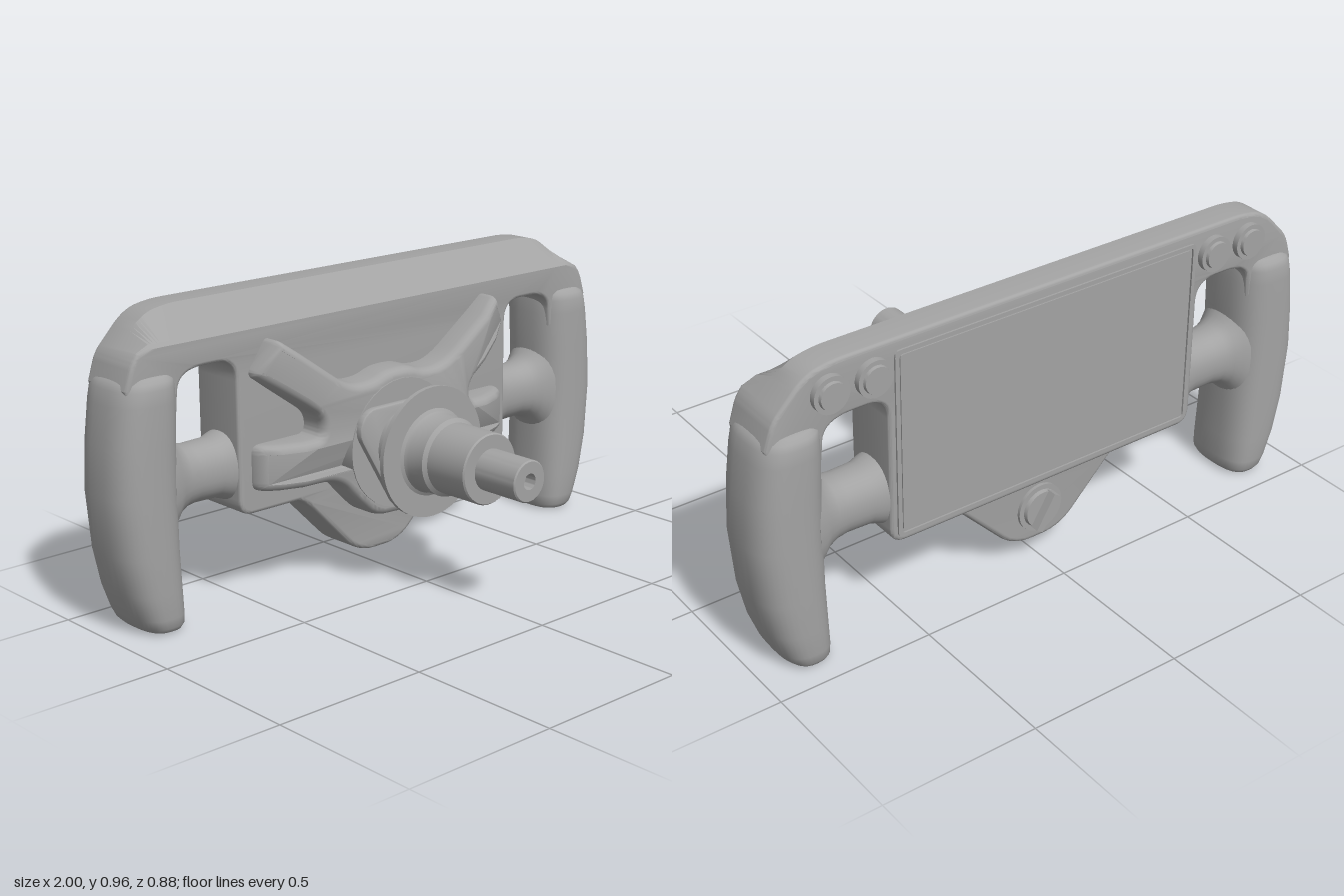
import * as THREE from 'three';
import { toCreasedNormals } from 'three/addons/utils/BufferGeometryUtils.js';

const HUB_Y = 0.433;

// Closed outline from [x, y, cornerRadius] points, counter-clockwise
function rounded(points) {
  const shape = new THREE.Shape();
  const n = points.length;
  points.forEach(([x, y, r = 0], i) => {
    const p = new THREE.Vector2(x, y);
    const toward = (q) => {
      const d = new THREE.Vector2(q[0], q[1]).sub(p);
      return p.clone().addScaledVector(d.clone().normalize(), Math.min(r, d.length() * 0.49));
    };
    const a = toward(points[(i + n - 1) % n]);
    const b = toward(points[(i + 1) % n]);
    if (i === 0) shape.moveTo(a.x, a.y);
    else shape.lineTo(a.x, a.y);
    if (r > 0) shape.quadraticCurveTo(x, y, b.x, b.y);
  });
  shape.closePath();
  return shape;
}

// Right half listed upwards, mirrored to the other side
const mirrored = (half) =>
  rounded([...half, ...half.filter((p) => p[0] > 0).reverse().map(([x, y, r]) => [-x, y, r])]);

// Extrusion between two z levels, bevelled inside the outline
function slab(shape, z0, z1, bevel = 0, steps = 1, bevelDepth = bevel) {
  const g = new THREE.ExtrudeGeometry(shape, {
    depth: z1 - z0 - 2 * bevelDepth, steps, curveSegments: 8,
    bevelEnabled: bevel > 0, bevelSize: bevel, bevelThickness: bevelDepth,
    bevelOffset: -bevel, bevelSegments: 4,
  });
  return g.translate(0, 0, z0 + bevelDepth);
}

// Upright loft of rounded sections [y, centreX, halfX, halfZ], closed at both ends
function loft(sections, power = 2, sides = 32) {
  const pos = [], index = [];
  const squash = (v) => Math.sign(v) * Math.abs(v) ** (2 / power);
  for (const [y, c, hx, hz] of sections) {
    for (let j = 0; j < sides; j++) {
      const a = (j / sides) * Math.PI * 2;
      pos.push(c + hx * squash(Math.cos(a)), y, hz * squash(Math.sin(a)));
    }
  }
  const last = sections.length - 1;
  for (let i = 0; i < last; i++) {
    for (let j = 0; j < sides; j++) {
      const a = i * sides + j, b = i * sides + ((j + 1) % sides);
      index.push(a, a + sides, b, b, a + sides, b + sides);
    }
  }
  const base = pos.length / 3;
  pos.push(sections[0][1], sections[0][0], 0, sections[last][1], sections[last][0], 0);
  for (let j = 0; j < sides; j++) {
    const k = (j + 1) % sides;
    index.push(base, j, k, base + 1, last * sides + k, last * sides + j);
  }
  const g = new THREE.BufferGeometry();
  g.setAttribute('position', new THREE.Float32BufferAttribute(pos, 3));
  g.setIndex(index);
  return g;
}

function bend(g, rule) {
  const p = g.attributes.position, v = new THREE.Vector3();
  for (let i = 0; i < p.count; i++) {
    v.fromBufferAttribute(p, i);
    rule(v);
    p.setXYZ(i, v.x, v.y, v.z);
  }
  return g;
}

export function createModel() {
  const model = new THREE.Group();
  const grey = new THREE.MeshStandardMaterial({ color: 0xa3a3a3 });
  grey.name = 'grey';

  const add = (name, g, crease = 0.6) => {
    const mesh = new THREE.Mesh(toCreasedNormals(g, crease), grey);
    mesh.name = name;
    model.add(mesh);
    return mesh;
  };
  const disc = (name, r, x, y, z0, z1, r2 = r) =>
    add(name, new THREE.CylinderGeometry(r, r2, z1 - z0, 32).rotateX(Math.PI / 2).translate(x, y, (z0 + z1) / 2));

  // Body: centre plate and top bar, sloped along the upper front edge
  const body = slab(mirrored([
    [0.56, 0.29, 0.05], [0.56, 0.78, 0.07], [0.765, 0.78, 0.09], [0.775, 0.66],
    [0.93, 0.66], [0.95, 0.75], [0.925, 0.83, 0.03], [0.82, 0.94, 0.06], [0.73, 0.957, 0.04],
  ]), -0.41, -0.215, 0.012, 2);
  add('body', bend(body, (v) => { v.y = Math.min(v.y, 0.86 + (-0.215 - v.z)); }), 0.45);

  // Lower lobe carrying the dial
  add('lowerLobe', slab(mirrored([
    [0.09, 0.06, 0.07], [0.3, 0.275, 0.05], [0.36, 0.3], [0.3, 0.36],
  ]), -0.37, -0.215, 0.015));

  // Four-armed cover on the front, falling away towards the arm tips
  const cover = slab(mirrored([
    [0, 0.2], [0.1, 0.205, 0.06], [0.17, 0.27, 0.05], [0.25, 0.36, 0.06], [0.38, 0.362], [0.45, 0.362],
    [0.515, 0.362, 0.03], [0.515, 0.505, 0.03], [0.45, 0.505], [0.38, 0.505], [0.31, 0.505, 0.03],
    [0.31, 0.57, 0.04], [0.38, 0.62], [0.45, 0.67], [0.525, 0.725, 0.02],
    [0.45, 0.83, 0.02], [0.38, 0.778], [0.2, 0.65, 0.07], [0.11, 0.645, 0.05], [0.05, 0.668, 0.04], [0, 0.67],
  ]), -0.26, -0.115, 0.025, 1, 0.035);
  add('armCover', bend(cover, (v) => {
    const t = Math.max(0, (Math.abs(v.x) - 0.36) / 0.16);
    if (v.z > -0.2) v.z -= 0.075 * t ** 1.8;
  }), 0.7);

  // Ring step around the hub
  disc('hubRing', 0.207, 0, HUB_Y, -0.2, -0.111);

  // Three-cornered mounting plate
  const plate = new THREE.Shape();
  [-90, 30, 150].forEach((deg) => {
    const a = THREE.MathUtils.degToRad(deg);
    plate.absarc(0.14 * Math.cos(a), HUB_Y + 0.14 * Math.sin(a), 0.067, a - Math.PI / 3, a + Math.PI / 3, false);
  });
  add('mountingPlate', slab(plate, -0.13, -0.09, 0.004));

  // Stepped quick-release shaft with a flange and a bored tip
  const profile = [
    [0, -0.1], [0.118, -0.1], [0.118, -0.034], [0.108, -0.032], [0.108, 0.015],
    [0.207, 0.015], [0.207, 0.03], [0.138, 0.03], [0.128, 0.036], [0.123, 0.048],
    [0.123, 0.11], [0.111, 0.12], [0.111, 0.272], [0.107, 0.277], [0.065, 0.277],
    [0.065, 0.436], [0.061, 0.44], [0.025, 0.44], [0.025, 0.4], [0, 0.4],
  ].map(([r, z]) => new THREE.Vector2(r, z));
  add('shaft', new THREE.LatheGeometry(profile, 48).rotateX(Math.PI / 2).translate(0, HUB_Y, 0), 0.5);

  // Screen with a slim frame on the back
  const panel = (x, r) => {
    const y0 = 0.85 - x, y1 = x + 0.38;
    return rounded([[x, y0, r], [x, y1, r], [-x, y1, r], [-x, y0, r]]);
  };
  const frame = panel(0.54, 0.02);
  frame.holes.push(panel(0.528, 0.012));
  add('screenFrame', slab(frame, -0.416, -0.405));
  add('screen', slab(panel(0.522, 0.012), -0.414, -0.405));

  // Rotary dial with a tilted grip bar
  disc('dialBase', 0.08, 0, 0.175, -0.38, -0.36);
  disc('dial', 0.066, 0, 0.175, -0.392, -0.37, 0.06);
  const bar = add('dialBar', new THREE.BoxGeometry(0.026, 0.125, 0.035));
  bar.position.set(0, 0.175, -0.403);
  bar.rotation.z = 0.55;

  for (const side of [1, -1]) {
    const label = side > 0 ? 'left' : 'right';

    // Hand grip
    const grip = loft([
      [0, 0.832, 0.05, 0.095], [0.006, 0.833, 0.063, 0.112], [0.02, 0.836, 0.074, 0.122], [0.05, 0.843, 0.083, 0.126],
      [0.13, 0.859, 0.097, 0.129], [0.25, 0.874, 0.109, 0.13], [0.43, 0.882, 0.117, 0.13],
      [0.58, 0.876, 0.114, 0.13], [0.7, 0.866, 0.107, 0.13], [0.745, 0.862, 0.1, 0.129],
      [0.765, 0.858, 0.094, 0.122], [0.777, 0.855, 0.08, 0.108], [0.782, 0.853, 0.06, 0.09],
    ].map(([y, c, hx, hz]) => [y, c * side, hx, hz]), 2.7, 40).translate(0, 0, -0.313);
    add(label + 'Grip', grip, 0.9);

    // Spoke flaring into the body and the grip
    const spoke = loft([
      [0.53, 0, 0.115, 0.095], [0.565, 0, 0.105, 0.09], [0.6, 0, 0.092, 0.082], [0.68, 0, 0.09, 0.08],
      [0.72, 0, 0.097, 0.084], [0.75, 0, 0.115, 0.092], [0.775, 0, 0.15, 0.105], [0.8, 0, 0.19, 0.11],
    ], 2.3).rotateZ(-side * Math.PI / 2).translate(0, 0.435, -0.313);
    add(label + 'Spoke', spoke, 0.9);

    // Push buttons on the back of the top bar
    for (const x of [0.61, 0.75]) {
      disc(label + 'ButtonRing', 0.057, side * x, 0.867, -0.43, -0.405);
      disc(label + 'ButtonCap', 0.045, side * x, 0.867, -0.44, -0.42, 0.041);
    }
  }
  return model;
}
